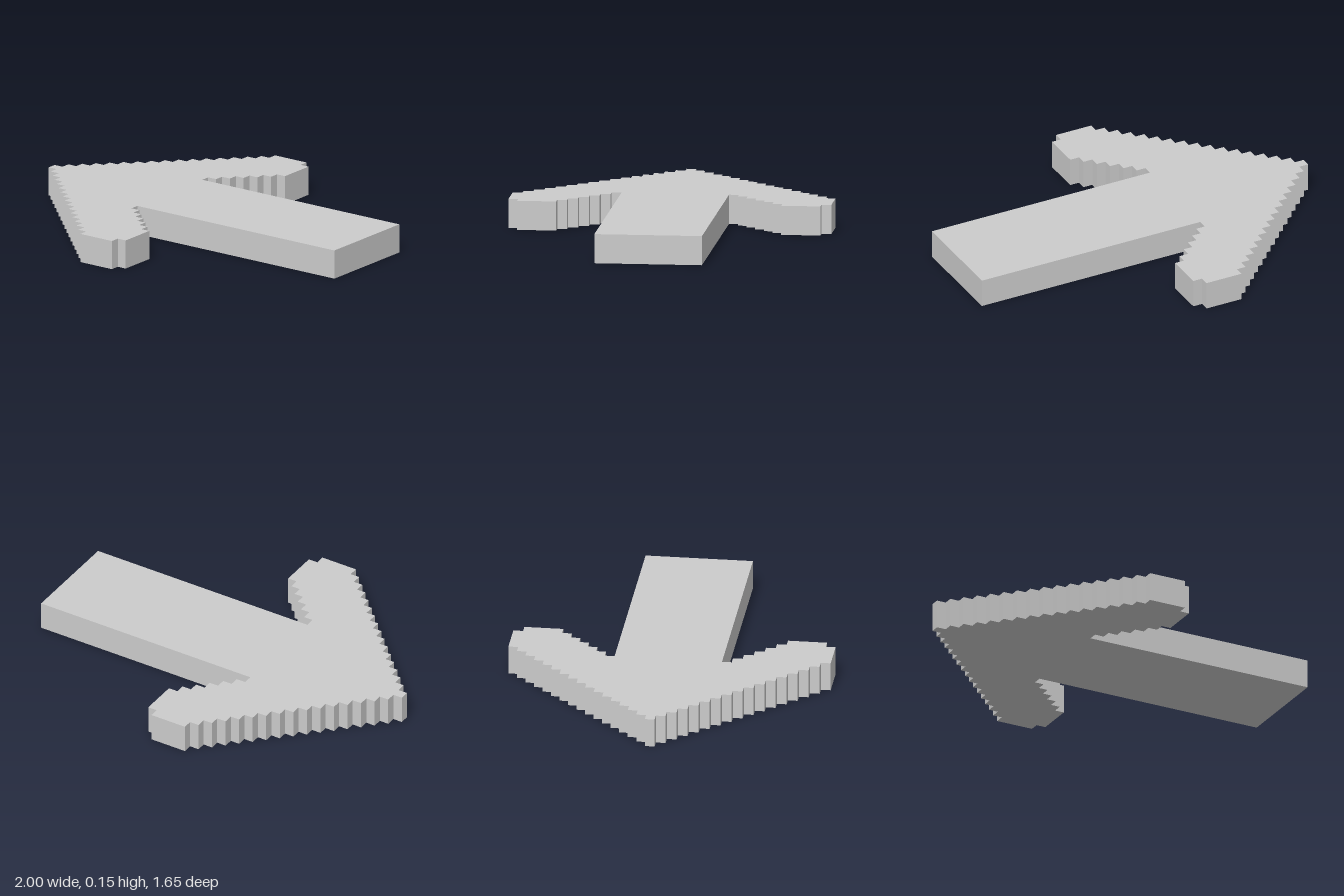
import * as THREE from 'three';

const STEP = 0.05;     // size of one stair step
const HEIGHT = 0.15;   // slab thickness
const SHAFT = 0.275;   // half width of the shaft

// One half of the arrow outline, from the tip round to the end of the shaft
function halfOutline() {
  const pts = [];
  // stepped leading edge, rising one step per column
  for (let i = 0; i <= 16; i++) {
    const x = -1 + i * STEP, w = STEP / 2 + i * STEP;
    pts.push([x, w], [i < 16 ? x + STEP : 0, w]);
  }
  // blunt end of the barb
  pts.push([0, 0.775], [STEP, 0.775]);
  // stepped trailing edge, back in to the shaft
  for (let i = 0; i < 6; i++) {
    const x = STEP - i * STEP, w = 0.575 - i * STEP;
    pts.push([x, w], [x - STEP, w]);
  }
  // shaft
  pts.push([-0.25, SHAFT], [1, SHAFT]);
  // drop repeated corners
  return pts.filter((p, i) => i === 0 ||
    Math.hypot(p[0] - pts[i - 1][0], p[1] - pts[i - 1][1]) > 1e-6);
}

export function createModel() {
  const group = new THREE.Group();
  group.name = 'arrow';

  // Mirror the half outline across the centre line
  const half = halfOutline();
  const mirrored = half.map(([x, w]) => [x, -w]).reverse();
  const shape = new THREE.Shape([...half, ...mirrored].map(([x, w]) => new THREE.Vector2(x, w)));

  // Flat slab standing on the ground
  const geometry = new THREE.ExtrudeGeometry(shape, { depth: HEIGHT, bevelEnabled: false });
  geometry.rotateX(-Math.PI / 2);

  const material = new THREE.MeshStandardMaterial({ color: 0xcccccc, flatShading: true });
  const slab = new THREE.Mesh(geometry, material);
  slab.name = 'arrowSlab';
  group.add(slab);
  return group;
}
